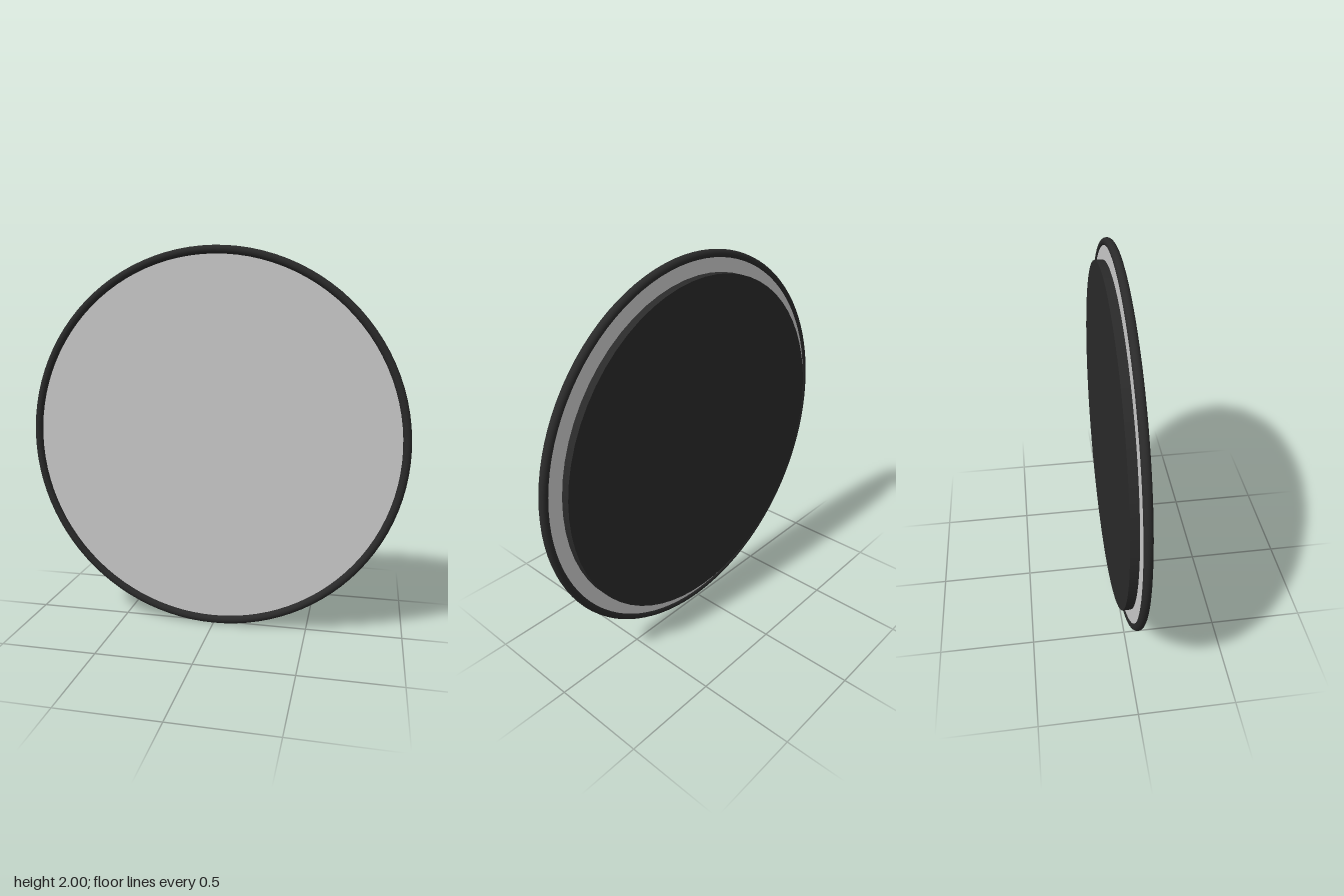
import * as THREE from 'three';

const TUBE = 0.021;        // half thickness of the rim
const RING = 1 - TUBE;     // centre-line radius of the rim

export function createModel() {
  const model = new THREE.Group();
  model.name = 'roundMirror';

  const dark = new THREE.MeshStandardMaterial({ color: 0x2a2a2a });
  const grey = new THREE.MeshStandardMaterial({ color: 0xcccccc });

  const add = (name, geometry, material, z) => {
    const mesh = new THREE.Mesh(geometry, material);
    mesh.name = name;
    mesh.position.set(0, 1, z);
    model.add(mesh);
  };

  // Disc facing +z
  const disc = (radius, depth) =>
    new THREE.CylinderGeometry(radius, radius, depth, 64).rotateX(Math.PI / 2);

  // Rounded rim around the glass
  add('rim', new THREE.TorusGeometry(RING, TUBE, 16, 100), dark, TUBE);

  // Mirror glass, its edge set into the rim
  add('glass', disc(RING - 0.005, 0.014), grey, 0.014);

  // Backing plate behind the glass
  add('backPlate', disc(0.895, 2 * TUBE), dark, -TUBE);

  return model;
}
